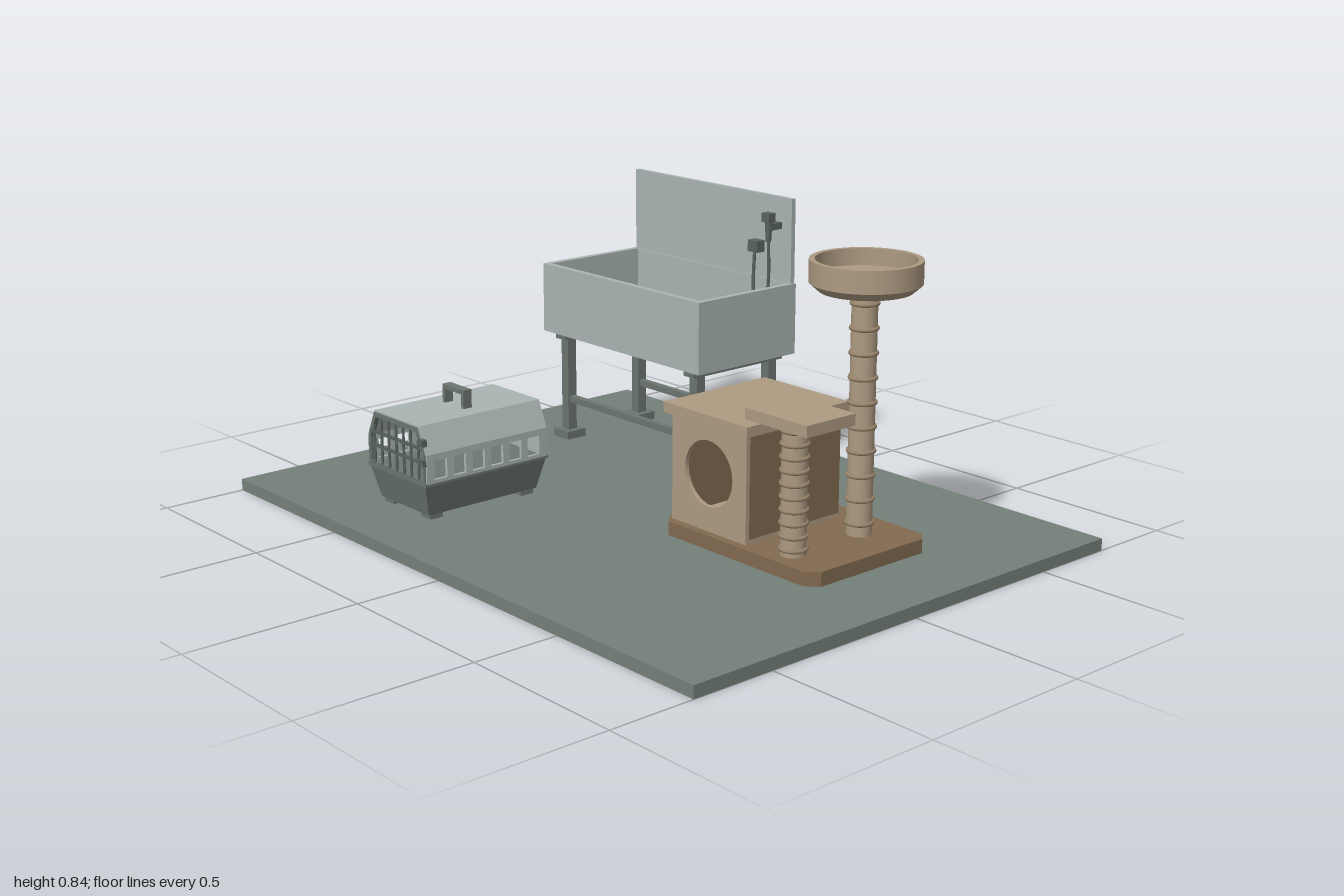
import * as THREE from 'three';

const mat = (name, color, side = THREE.FrontSide) => {
  const m = new THREE.MeshStandardMaterial({ color, side });
  m.name = name;
  return m;
};

export function createModel() {
  const root = new THREE.Group();
  const floorGrey = mat('floorGrey', 0x75807a);
  const paleGrey = mat('paleGrey', 0xaab5b3);
  const darkGrey = mat('darkGrey', 0x6c7671);
  const metalGrey = mat('metalGrey', 0x5a6461);
  const tan = mat('tan', 0xae9b82);
  const brown = mat('brown', 0x826a50);
  const rope = mat('rope', 0x97836a);

  const group = (name) => {
    const g = new THREE.Group();
    g.name = name;
    root.add(g);
    return g;
  };
  const add = (g, name, geo, m, x = 0, y = 0, z = 0) => {
    const mesh = new THREE.Mesh(geo, m);
    mesh.name = name;
    mesh.position.set(x, y, z);
    g.add(mesh);
    return mesh;
  };
  // Box given by its limits on each axis
  const box = (g, name, m, [x0, x1], [y0, y1], [z0, z1]) =>
    add(g, name, new THREE.BoxGeometry(x1 - x0, y1 - y0, z1 - z0), m,
      (x0 + x1) / 2, (y0 + y1) / 2, (z0 + z1) / 2);
  const poly = (pts) => new THREE.Shape(pts.map(([x, y]) => new THREE.Vector2(x, y)));
  const path = (pts) => new THREE.Path(pts.map(([x, y]) => new THREE.Vector2(x, y)));
  const extrude = (shape, depth) =>
    new THREE.ExtrudeGeometry(shape, { depth, bevelEnabled: false, curveSegments: 24 });

  box(root, 'floor', floorGrey, [-1, 1], [0, 0.035], [-0.75, 0.75]);

  // ---- Washing tub ----
  const tub = group('washingTub');
  const tx = [-0.77, -0.05], tz = [-0.605, -0.215];
  box(tub, 'tubBottom', paleGrey, tx, [0.375, 0.395], tz);
  box(tub, 'tubFront', paleGrey, tx, [0.395, 0.59], [-0.235, -0.215]);
  box(tub, 'tubBack', paleGrey, tx, [0.395, 0.59], [-0.605, -0.585]);
  box(tub, 'tubSide', paleGrey, [-0.77, -0.75], [0.395, 0.59], [-0.585, -0.235]);
  box(tub, 'tubSide', paleGrey, [-0.07, -0.05], [0.395, 0.59], [-0.585, -0.235]);
  box(tub, 'backsplash', paleGrey, [-0.763, -0.057], [0.59, 0.845], [-0.605, -0.59]);
  // Slatted rack inside the tub
  for (let i = 0; i < 9; i++) {
    const x = -0.698 + i * 0.072;
    box(tub, 'rackSlat', darkGrey, [x - 0.03, x + 0.03], [0.42, 0.432], [-0.575, -0.245]);
  }
  for (const z of [-0.573, -0.247])
    box(tub, 'rackRail', darkGrey, [-0.735, -0.085], [0.405, 0.42], [z - 0.009, z + 0.009]);
  // Stand
  for (const x of [-0.71, -0.11]) {
    box(tub, 'standSideRail', darkGrey, [x - 0.023, x + 0.023], [0.355, 0.375], [-0.588, -0.232]);
    for (const z of [-0.555, -0.265]) {
      box(tub, 'standLeg', darkGrey, [x - 0.016, x + 0.016], [0.05, 0.36], [z - 0.016, z + 0.016]);
      box(tub, 'standFoot', darkGrey, [x - 0.036, x + 0.036], [0.035, 0.06], [z - 0.036, z + 0.036]);
    }
  }
  for (const z of [-0.555, -0.265])
    box(tub, 'standCrossbar', darkGrey, [-0.7, -0.12], [0.15, 0.17], [z - 0.01, z + 0.01]);

  // ---- Hand shower ----
  const shower = group('handShower');
  box(shower, 'valveBox', metalGrey, [-0.21, -0.17], [0.67, 0.705], [-0.592, -0.558]);
  box(shower, 'showerBracket', metalGrey, [-0.122, -0.098], [0.75, 0.77], [-0.592, -0.548]);
  add(shower, 'showerHandle', new THREE.CylinderGeometry(0.012, 0.008, 0.07, 10), metalGrey, -0.11, 0.75, -0.547);
  box(shower, 'showerHead', metalGrey, [-0.126, -0.094], [0.775, 0.802], [-0.56, -0.532]);
  const hose = new THREE.CatmullRomCurve3([
    [-0.19, 0.68, -0.568], [-0.188, 0.57, -0.562], [-0.172, 0.51, -0.555], [-0.148, 0.49, -0.55],
    [-0.124, 0.52, -0.55], [-0.112, 0.6, -0.551], [-0.11, 0.72, -0.547],
  ].map((p) => new THREE.Vector3(...p)));
  add(shower, 'showerHose', new THREE.TubeGeometry(hose, 32, 0.005, 8), metalGrey);

  // ---- Pet carrier ----
  const carrier = group('petCarrier');
  const cx = -0.441, cz = 0.36;
  // Tapered lower shell
  const lower = new THREE.BoxGeometry(0.276, 0.1, 0.426);
  const lp = lower.attributes.position;
  for (let i = 0; i < lp.count; i++)
    if (lp.getY(i) < 0) lp.setXYZ(i, lp.getX(i) * 0.84, lp.getY(i), lp.getZ(i) * 0.89);
  lower.computeVertexNormals();
  add(carrier, 'lowerShell', lower, darkGrey, cx, 0.1, cz);
  box(carrier, 'lowerRim', darkGrey, [cx - 0.143, cx + 0.143], [0.143, 0.153], [cz - 0.214, cz + 0.214]);
  for (const x of [-0.09, 0.09])
    for (const z of [-0.16, 0.16])
      box(carrier, 'carrierFoot', darkGrey, [cx + x - 0.022, cx + x + 0.022], [0.035, 0.054], [cz + z - 0.022, cz + z + 0.022]);
  // Side walls with a row of window openings
  const wall = poly([[-0.21, 0.15], [0.21, 0.15], [0.21, 0.235], [-0.21, 0.235]]);
  for (let i = 0; i < 6; i++) {
    const c = (i - 2.5) * 0.0648;
    wall.holes.push(path([[c - 0.021, 0.16], [c - 0.021, 0.216], [c + 0.021, 0.216], [c + 0.021, 0.16]]));
  }
  const wallGeo = extrude(wall, 0.01).translate(0, 0, -0.005).rotateY(Math.PI / 2);
  for (const s of [-1, 1]) add(carrier, 'windowWall', wallGeo, paleGrey, cx + s * 0.138, 0, cz);
  // Folded roof, back panel and front door frame share one outline
  const roof = poly([[-0.143, 0.235], [-0.131, 0.235], [-0.102, 0.298], [0.102, 0.298],
    [0.131, 0.235], [0.143, 0.235], [0.109, 0.312], [-0.109, 0.312]]);
  add(carrier, 'roof', extrude(roof, 0.42), paleGrey, cx, 0, cz - 0.21);
  const outline = [[-0.138, 0.15], [0.138, 0.15], [0.138, 0.235], [0.105, 0.308], [-0.105, 0.308], [-0.138, 0.235]];
  add(carrier, 'backPanel', extrude(poly(outline), 0.01), paleGrey, cx, 0, cz - 0.208);
  const frame = poly(outline);
  frame.holes.push(path([[-0.126, 0.16], [-0.126, 0.232], [-0.098, 0.294], [0.098, 0.294], [0.126, 0.232], [0.126, 0.16]]));
  add(carrier, 'doorFrame', extrude(frame, 0.014), darkGrey, cx, 0, cz + 0.2);
  // Barred door
  for (let i = -3; i <= 3; i++) {
    const top = Math.abs(i) === 3 ? 0.27 : 0.297;
    add(carrier, 'doorBar', new THREE.CylinderGeometry(0.004, 0.004, top - 0.155, 8), metalGrey,
      cx + i * 0.036, (top + 0.155) / 2, cz + 0.212);
  }
  for (const y of [0.21, 0.25])
    box(carrier, 'doorCrossbar', metalGrey, [cx - 0.13, cx + 0.13], [y - 0.004, y + 0.004], [cz + 0.206, cz + 0.214]);
  for (const y of [0.212, 0.27])
    box(carrier, 'doorLatch', metalGrey, [cx + 0.115, cx + 0.141], [y - 0.01, y + 0.01], [cz + 0.206, cz + 0.22]);
  // Handle
  for (const s of [-1, 1])
    box(carrier, 'handlePost', darkGrey, [cx + s * 0.045 - 0.006, cx + s * 0.045 + 0.006], [0.308, 0.355], [cz - 0.014, cz + 0.014]);
  box(carrier, 'handleGrip', darkGrey, [cx - 0.051, cx + 0.051], [0.353, 0.366], [cz - 0.014, cz + 0.014]);

  // ---- Cat tree ----
  const tree = group('catTree');
  const [x0, x1, z0, z1, c] = [0.17, 0.755, -0.122, 0.325, 0.032];
  const base = poly([[x0 + c, z0], [x1 - c, z0], [x1, z0 + c], [x1, z1 - c],
    [x1 - c, z1], [x0 + c, z1], [x0, z1 - c], [x0, z0 + c]]);
  add(tree, 'treeBase', extrude(base, 0.04).rotateX(-Math.PI / 2), brown, 0, 0.035, 0);

  // Hide box with a round doorway
  box(tree, 'hideFloor', tan, [0.19, 0.482], [0.075, 0.087], [-0.254, 0.085]);
  box(tree, 'hideSide', brown, [0.19, 0.205], [0.087, 0.38], [-0.254, 0.085]);
  box(tree, 'hideSide', brown, [0.467, 0.482], [0.087, 0.38], [-0.254, 0.085]);
  box(tree, 'hideBack', brown, [0.205, 0.467], [0.087, 0.38], [-0.254, -0.239]);
  const front = poly([[0.19, 0.075], [0.482, 0.075], [0.482, 0.38], [0.19, 0.38]]);
  front.holes.push(new THREE.Path().absarc(0.336, 0.238, 0.093, 0, Math.PI * 2, true));
  add(tree, 'hideFront', extrude(front, 0.013), tan, 0, 0, 0.085);
  box(tree, 'hideLid', tan, [0.172, 0.5], [0.378, 0.407], [-0.266, 0.114]);

  // Rope-wrapped posts
  const post = (name, z, y0, y1, pitch, r) => {
    add(tree, name, new THREE.CylinderGeometry(r, r, y1 - y0, 24), tan, 0.612, (y0 + y1) / 2, z);
    const ring = new THREE.TorusGeometry(r, 0.006, 8, 24).rotateX(Math.PI / 2);
    for (let y = y0 + pitch / 2; y < y1 - 0.01; y += pitch) add(tree, 'ropeRing', ring, rope, 0.612, y, z);
  };
  post('shortPost', 0.05, 0.075, 0.432, 0.0357, 0.035);
  post('tallPost', -0.198, 0.075, 0.746, 0.067, 0.035);
  box(tree, 'shelf', tan, [0.5, 0.725], [0.431, 0.463], [-0.054, 0.122]);

  // Round bed with a raised rim; points doubled by segment keep the edges sharp
  const bed = [[0, 0.744], [0.125, 0.744], [0.15, 0.766], [0.15, 0.828], [0.135, 0.828], [0.135, 0.782], [0, 0.782]];
  for (let i = 0; i < bed.length - 1; i++)
    add(tree, 'bed', new THREE.LatheGeometry([bed[i], bed[i + 1]].map(([r, y]) => new THREE.Vector2(r, y)), 40),
      tan, 0.612, 0, -0.2);

  return root;
}
